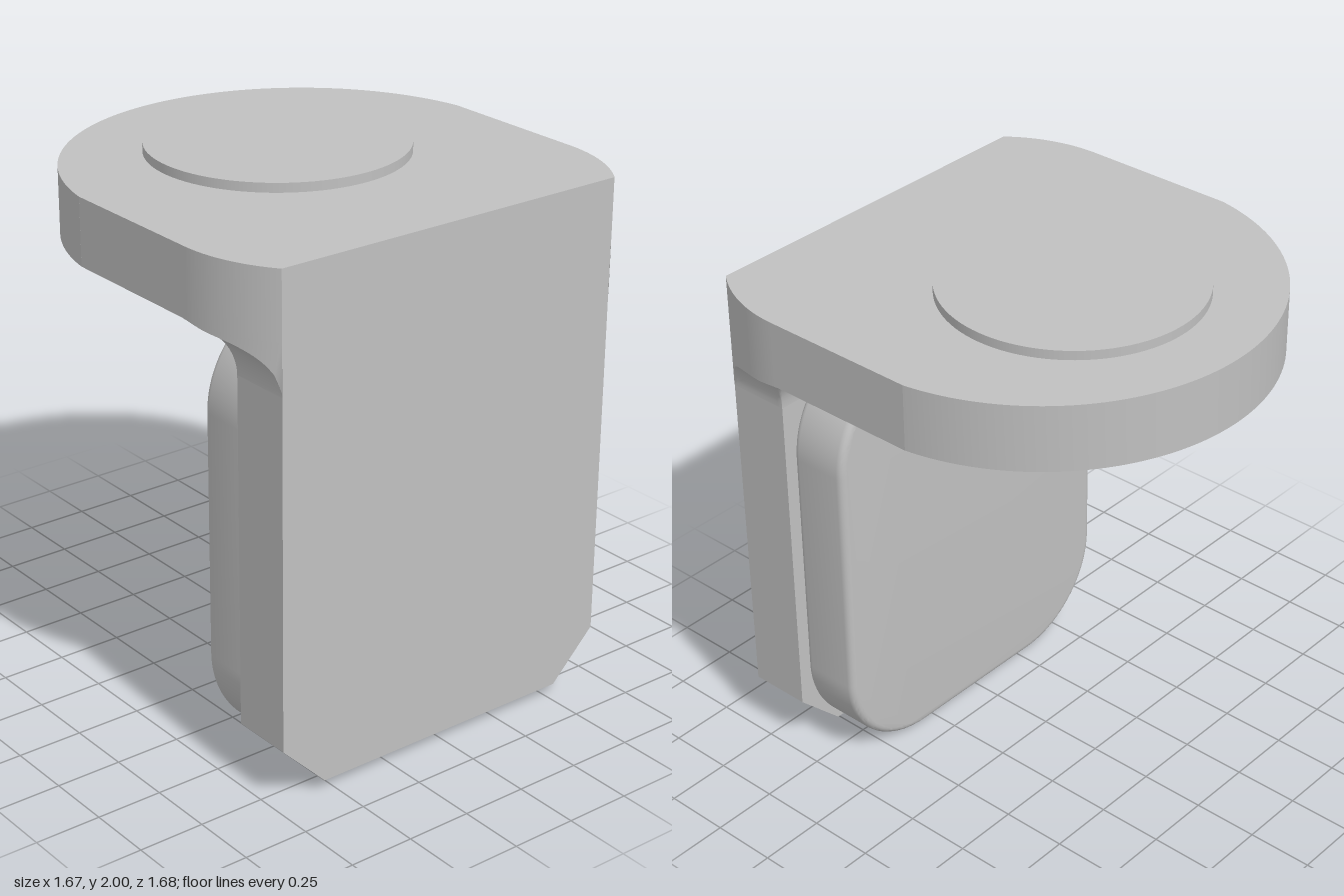
import * as THREE from 'three';
import { toCreasedNormals } from 'three/addons/utils/BufferGeometryUtils.js';

const HALF_X = 0.835, HALF_Z = 0.84;      // overall plan size
const TOP = 1.965, UNDER = 1.715;         // top slab
const WALL_X = 0.595, WALL_Z = 0.717;     // inner face and half width of the wall
const R = 0.19;                           // fillet between wall and slab
const FLARE_X = 0.486, FLARE_R = 0.56;    // slab corners easing into the wall

// half width of the slab at a given x, on the wall side
const slabEdge = (x) => x <= FLARE_X ? HALF_Z
  : HALF_Z - FLARE_R + Math.sqrt(FLARE_R ** 2 - (x - FLARE_X) ** 2);

function slabShape() {
  const s = new THREE.Shape();
  const a = Math.asin((HALF_X - FLARE_X) / FLARE_R), c = HALF_Z - FLARE_R;
  const cx = 0.016, r = 0.851, b = Math.acos((-0.12 - cx) / r);
  s.absarc(FLARE_X, c, FLARE_R, Math.PI / 2 - a, Math.PI / 2, false);
  s.lineTo(-0.12, HALF_Z);
  s.absarc(cx, 0, r, b, Math.PI * 2 - b, false);
  s.lineTo(-0.12, -HALF_Z);
  s.absarc(FLARE_X, -c, FLARE_R, -Math.PI / 2, -Math.PI / 2 + a, false);
  s.closePath();
  return s;
}

// concave fillet swept around three sides of the wall, trimmed by the slab edge
function filletGeometry() {
  const half = [];
  for (let i = 0; i <= 12; i++) {
    const x = HALF_X + (WALL_X - HALF_X) * i / 12;
    half.push({ x, z: WALL_Z, nx: 0, nz: 1, reach: Math.max(0, slabEdge(x) - WALL_Z) });
  }
  for (let i = 1; i <= 16; i++) {
    const t = Math.PI / 2 * (1 - i / 16), nx = -Math.cos(t), nz = Math.sin(t);
    let reach = R;
    for (let k = 0; k < 8; k++) {
      reach = Math.min(R, (slabEdge(WALL_X + reach * nx) - WALL_Z) / Math.max(nz, 1e-4));
    }
    half.push({ x: WALL_X, z: WALL_Z, nx, nz, reach });
  }
  const mirrored = half.map((c) => ({ ...c, z: -c.z, nz: -c.nz })).reverse();
  const columns = [...half, ...mirrored];

  const N = 12, rows = N + 2, pos = [], index = [];
  for (const c of columns) {
    const end = Math.acos(1 - c.reach / R);
    for (let j = 0; j <= N; j++) {
      const t = end * j / N, d = R * (1 - Math.cos(t));
      pos.push(c.x + c.nx * d, UNDER - R + R * Math.sin(t), c.z + c.nz * d);
    }
    pos.push(c.x + c.nx * c.reach, UNDER, c.z + c.nz * c.reach);
  }
  for (let i = 0; i < columns.length - 1; i++) {
    for (let j = 0; j < rows - 1; j++) {
      const a = i * rows + j, b = a + rows;
      index.push(a, a + 1, b, b, a + 1, b + 1);
    }
  }
  const g = new THREE.BufferGeometry();
  g.setAttribute('position', new THREE.Float32BufferAttribute(pos, 3));
  g.setIndex(index);
  return toCreasedNormals(g, 0.5);
}

// rounded rectangle in (z, y)
function roundedRect(w, y0, y1, r) {
  const s = new THREE.Shape();
  s.absarc(w - r, y0 + r, r, -Math.PI / 2, 0, false);
  s.absarc(w - r, y1 - r, r, 0, Math.PI / 2, false);
  s.absarc(-w + r, y1 - r, r, Math.PI / 2, Math.PI, false);
  s.absarc(-w + r, y0 + r, r, Math.PI, Math.PI * 1.5, false);
  s.closePath();
  return s;
}

export function createModel() {
  const group = new THREE.Group();
  const grey = new THREE.MeshStandardMaterial({ color: 0xc0c0c0, side: THREE.DoubleSide });
  grey.name = 'light grey';
  const add = (name, geometry) => {
    const mesh = new THREE.Mesh(geometry, grey);
    mesh.name = name;
    group.add(mesh);
    return mesh;
  };

  // top slab
  const slab = new THREE.ExtrudeGeometry(slabShape(), { depth: TOP - UNDER, bevelEnabled: false, curveSegments: 48 });
  slab.rotateX(-Math.PI / 2).translate(0, UNDER, 0);
  add('topSlab', toCreasedNormals(slab, 0.3));

  // raised disc
  add('raisedDisc', new THREE.CylinderGeometry(0.478, 0.478, 0.05, 96)).position.set(-0.122, 1.975, 0);

  // upright wall with chamfered lower corners
  const wallShape = new THREE.Shape([
    [-0.537, 0.037], [0.537, 0.037], [WALL_Z, 0.217], [WALL_Z, UNDER], [-WALL_Z, UNDER], [-WALL_Z, 0.217],
  ].map(([z, y]) => new THREE.Vector2(z, y)));
  const wall = new THREE.ExtrudeGeometry(wallShape, { depth: HALF_X - WALL_X, bevelEnabled: false });
  wall.rotateY(Math.PI / 2).translate(WALL_X, 0, 0);
  add('uprightWall', wall);

  add('cornerFillet', filletGeometry());

  // pad with softened edges on the inner face of the wall
  const soft = 0.028, padDepth = 0.24;
  const pad = new THREE.ExtrudeGeometry(roundedRect(0.68 - soft, soft, 1.68 - soft, 0.38 - soft), {
    depth: padDepth - 2 * soft, bevelThickness: soft, bevelSize: soft, bevelSegments: 5, curveSegments: 20,
  });
  pad.rotateY(Math.PI / 2).translate(WALL_X - padDepth + soft, 0, 0);
  add('innerPad', toCreasedNormals(pad, 0.6));

  return group;
}
